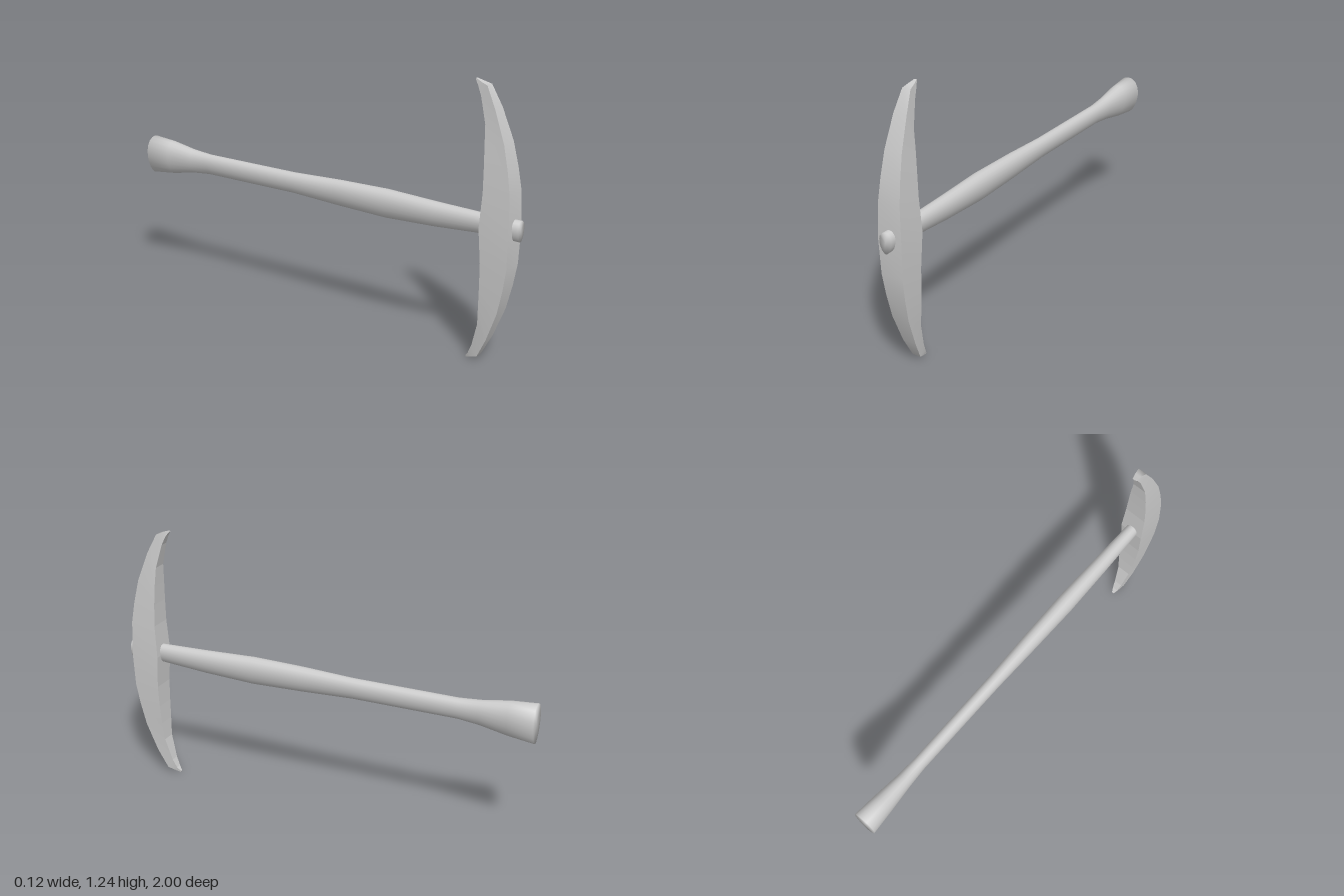
import * as THREE from 'three';

const MID = 0.618; // height of the handle axis and of the head's centre

// Indexed grid surface through rows of [x, y, z] points
function surface(rows, closed = false, caps = false) {
  const pos = rows.flat(2), idx = [], n = rows[0].length;
  const cols = closed ? n : n - 1;
  for (let i = 0; i < rows.length - 1; i++) {
    for (let j = 0; j < cols; j++) {
      const a = i * n + j, b = i * n + (j + 1) % n;
      idx.push(a, b, a + n, b, b + n, a + n);
    }
  }
  if (caps) {
    [0, rows.length - 1].forEach((r) => {
      const c = pos.length / 3;
      const sum = [0, 1, 2].map((k) => rows[r].reduce((s, p) => s + p[k], 0) / n);
      pos.push(...sum);
      for (let j = 0; j < n; j++) {
        const a = r * n + j, b = r * n + (j + 1) % n;
        if (r === 0) idx.push(c, b, a); else idx.push(c, a, b);
      }
    });
  }
  const g = new THREE.BufferGeometry();
  g.setAttribute('position', new THREE.Float32BufferAttribute(pos, 3));
  g.setIndex(idx);
  g.computeVertexNormals();
  return g;
}

export function createModel() {
  const model = new THREE.Group();
  const smooth = new THREE.MeshStandardMaterial({ color: 0xcccccc, side: THREE.DoubleSide });
  const flat = new THREE.MeshStandardMaterial({ color: 0xcccccc, side: THREE.DoubleSide, flatShading: true });
  const add = (parent, name, geo, mat) => {
    const m = new THREE.Mesh(geo, mat);
    m.name = name;
    parent.add(m);
  };

  // Handle stations: z, bottom y, top y, half width
  const stations = [
    [1, 0.574, 0.668, 0.03], [0.83, 0.578, 0.668, 0.03], [0.6, 0.562, 0.674, 0.036],
    [0.35, 0.552, 0.684, 0.041], [0.1, 0.56, 0.68, 0.037], [-0.15, 0.572, 0.67, 0.031],
    [-0.65, 0.572, 0.67, 0.03], [-0.75, 0.562, 0.678, 0.036],
    [-0.88, 0.537, 0.699, 0.048], [-1, 0.523, 0.708, 0.057],
  ];
  // Egg-shaped section, narrower below
  const handleRows = stations.map(([z, y0, y1, w]) => {
    const ring = [];
    for (let j = 0; j < 20; j++) {
      const t = -j / 20 * Math.PI * 2;
      ring.push([w * Math.cos(t) * (1 + 0.2 * Math.sin(t)) * 0.98,
        (y0 + y1) / 2 + (y1 - y0) / 2 * Math.sin(t), z]);
    }
    return ring.reverse();
  });
  add(model, 'handle', surface(handleRows, true, true), smooth);

  // Head half profile: front offset and z, back offset and z, half width
  const half = [
    [0, 0.973, 0, 0.835, 0.058], [0.16, 0.968, 0.155, 0.845, 0.053],
    [0.26, 0.952, 0.26, 0.843, 0.048], [0.37, 0.927, 0.35, 0.839, 0.042],
    [0.505, 0.876, 0.44, 0.833, 0.032], [0.597, 0.83, 0.55, 0.803, 0.02],
    [0.607, 0.8, 0.592, 0.784, 0.014], [0.618, 0.77, 0.613, 0.768, 0.005],
  ];
  // Mirror it to run from the lower tip to the upper tip
  const profile = [
    ...half.slice(1).reverse().map(([f, zf, b, zb, w]) => [-f, zf, -b, zb, w]),
    ...half,
  ];
  const front = (s, p) => [s * p[4], MID + p[0], p[1]];
  const back = (s, p) => [s * p[4], MID + p[2], p[3]];

  const head = new THREE.Group();
  head.name = 'pickHead';
  add(head, 'headFront', surface(profile.map((p) => [front(-1, p), front(1, p)])), smooth);
  add(head, 'headBack', surface(profile.map((p) => [back(1, p), back(-1, p)])), flat);
  add(head, 'headLeftSide', surface(profile.map((p) => [front(1, p), back(1, p)])), smooth);
  add(head, 'headRightSide', surface(profile.map((p) => [back(-1, p), front(-1, p)])), smooth);

  // Small end faces closing both tips
  const lower = profile[0], upper = profile[profile.length - 1];
  add(head, 'lowerTip', surface([[back(-1, lower), back(1, lower)], [front(-1, lower), front(1, lower)]]), flat);
  add(head, 'upperTip', surface([[front(-1, upper), front(1, upper)], [back(-1, upper), back(1, upper)]]), flat);
  model.add(head);

  return model;
}
